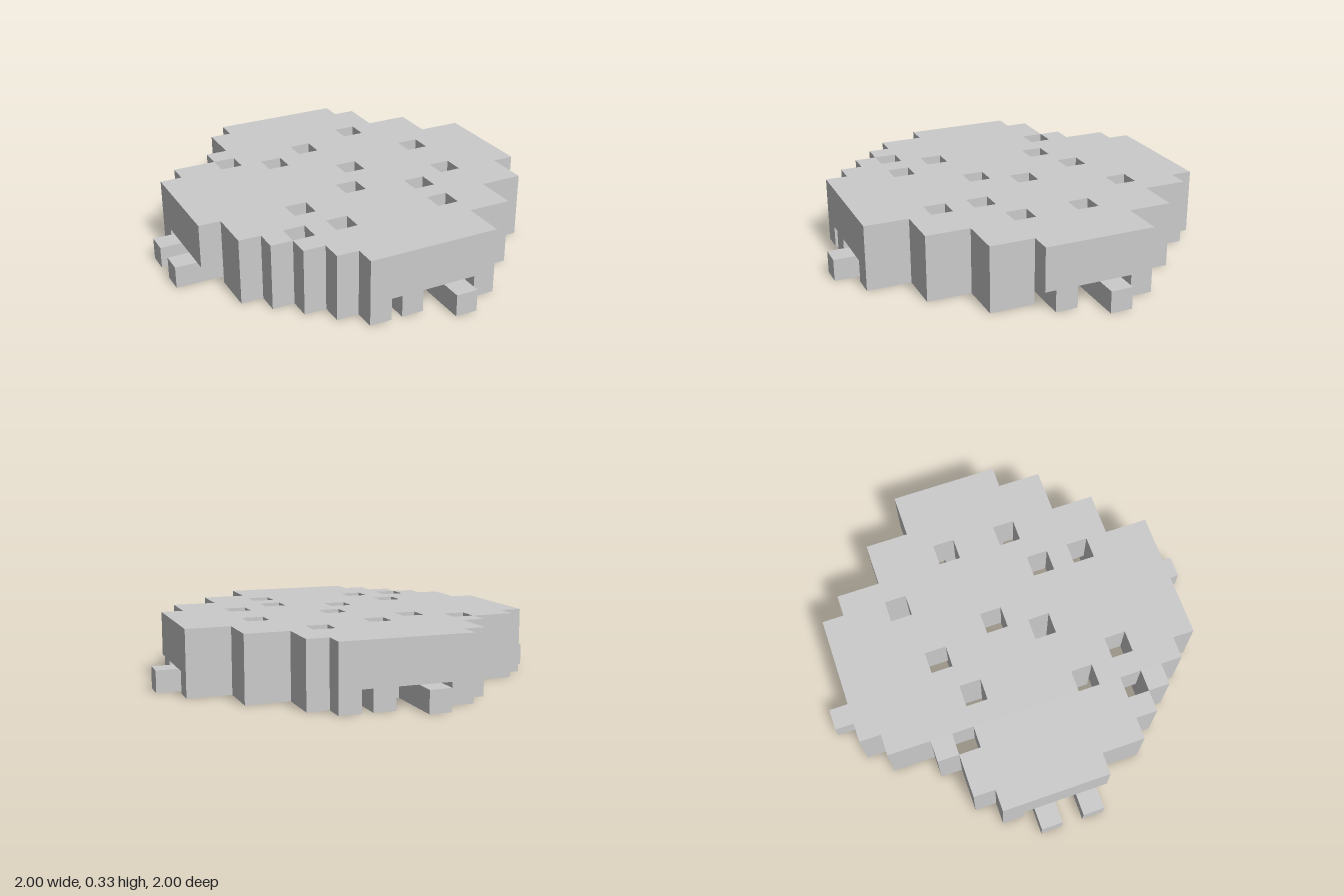
import * as THREE from 'three';
import { mergeGeometries } from 'three/addons/utils/BufferGeometryUtils.js';

const CELL = 1 / 9;

// Outline of the slab: [zStart, zEnd, xStart, xEnd] in cells
const ROWS = [
  [-8, -7, -3, 3], [-7, -5, -4, 4], [-5, -4, -5, 6], [-4, -3, -7, 6], [-3, 2, -8, 8],
  [2, 4, -7, 7], [4, 5, -6, 5], [5, 6, -5, 5], [6, 7, -4, 3], [7, 8, -3, 3],
];

// Cells pierced right through: [x, z]
const HOLES = [
  [2, -5], [-5, -4], [-1, -4], [-3, -3], [4, -2], [0, -1], [-1, 1],
  [4, 1], [-4, 2], [2, 2], [-5, 4], [-3, 4], [2, 4],
];

const inOutline = (x, z) =>
  ROWS.some(([z0, z1, x0, x1]) => z >= z0 && z < z1 && x >= x0 && x < x1);
const isHole = (x, z) => HOLES.some(([hx, hz]) => hx === x && hz === z);

// Rim: outline cells touching the outside, open in the middle of each side
function inRim(x, z) {
  if ((x >= -2 && x < 2) || (z >= -2 && z < 2)) return false;
  for (let dx = -1; dx <= 1; dx++)
    for (let dz = -1; dz <= 1; dz++)
      if (!inOutline(x + dx, z + dz)) return true;
  return false;
}

// Core: square block under the middle with a stepped slot
function inCore(x, z) {
  if (x < -3 || x >= 3 || z < -3 || z >= 3) return false;
  const slot = (z === -1 && x >= -2) || (z === 0 && x >= -1);
  return !slot;
}

function isSolid(x, y, z) {
  if (y < 0 || y > 2 || !inOutline(x, z) || isHole(x, z)) return false;
  return y > 0 || inRim(x, z) || inCore(x, z);
}

// Skin of all filled cells, one square per exposed side
function voxelSkin() {
  const sides = [[1, 0, 0], [-1, 0, 0], [0, 1, 0], [0, -1, 0], [0, 0, 1], [0, 0, -1]].map((d) => {
    const dir = new THREE.Vector3(...d);
    const turn = new THREE.Quaternion().setFromUnitVectors(new THREE.Vector3(0, 0, 1), dir);
    if (d[2] === -1) turn.setFromAxisAngle(new THREE.Vector3(0, 1, 0), Math.PI);
    const quad = new THREE.PlaneGeometry(1, 1).translate(0, 0, 0.5).applyQuaternion(turn);
    return { d, quad };
  });
  const faces = [];
  for (let x = -8; x < 8; x++)
    for (let y = 0; y < 3; y++)
      for (let z = -8; z < 8; z++) {
        if (!isSolid(x, y, z)) continue;
        for (const { d, quad } of sides)
          if (!isSolid(x + d[0], y + d[1], z + d[2]))
            faces.push(quad.clone().translate(x + 0.5, y + 0.5, z + 0.5));
      }
  return mergeGeometries(faces);
}

// Two-pronged bracket lying under the roof, prongs pointing to +z
function bracketGeometry(shortEnd) {
  const points = [
    [-1.5, 5], [1.5, 5], [1.5, 9], [0.5, 9], [0.5, 6],
    [-0.5, 6], [-0.5, shortEnd], [-1.5, shortEnd],
  ].map(([x, y]) => new THREE.Vector2(x, y));
  return new THREE.ExtrudeGeometry(new THREE.Shape(points), { depth: 1, bevelEnabled: false })
    .rotateX(Math.PI / 2)
    .translate(0, 1, 0);
}

export function createModel() {
  const model = new THREE.Group();
  model.name = 'steppedSlab';
  const material = new THREE.MeshStandardMaterial({ color: 0xcccccc, flatShading: true });

  const add = (name, geometry) => {
    const mesh = new THREE.Mesh(geometry.scale(CELL, CELL, CELL), material);
    mesh.name = name;
    model.add(mesh);
    return mesh;
  };

  // Pierced roof with rim and core
  add('body', voxelSkin());

  // One bracket per side, turned around the centre
  ['frontBracket', 'leftBracket', 'backBracket', 'rightBracket'].forEach((name, i) => {
    add(name, bracketGeometry(i === 3 ? 9 : 8)).rotation.y = (i * Math.PI) / 2;
  });

  return model;
}
